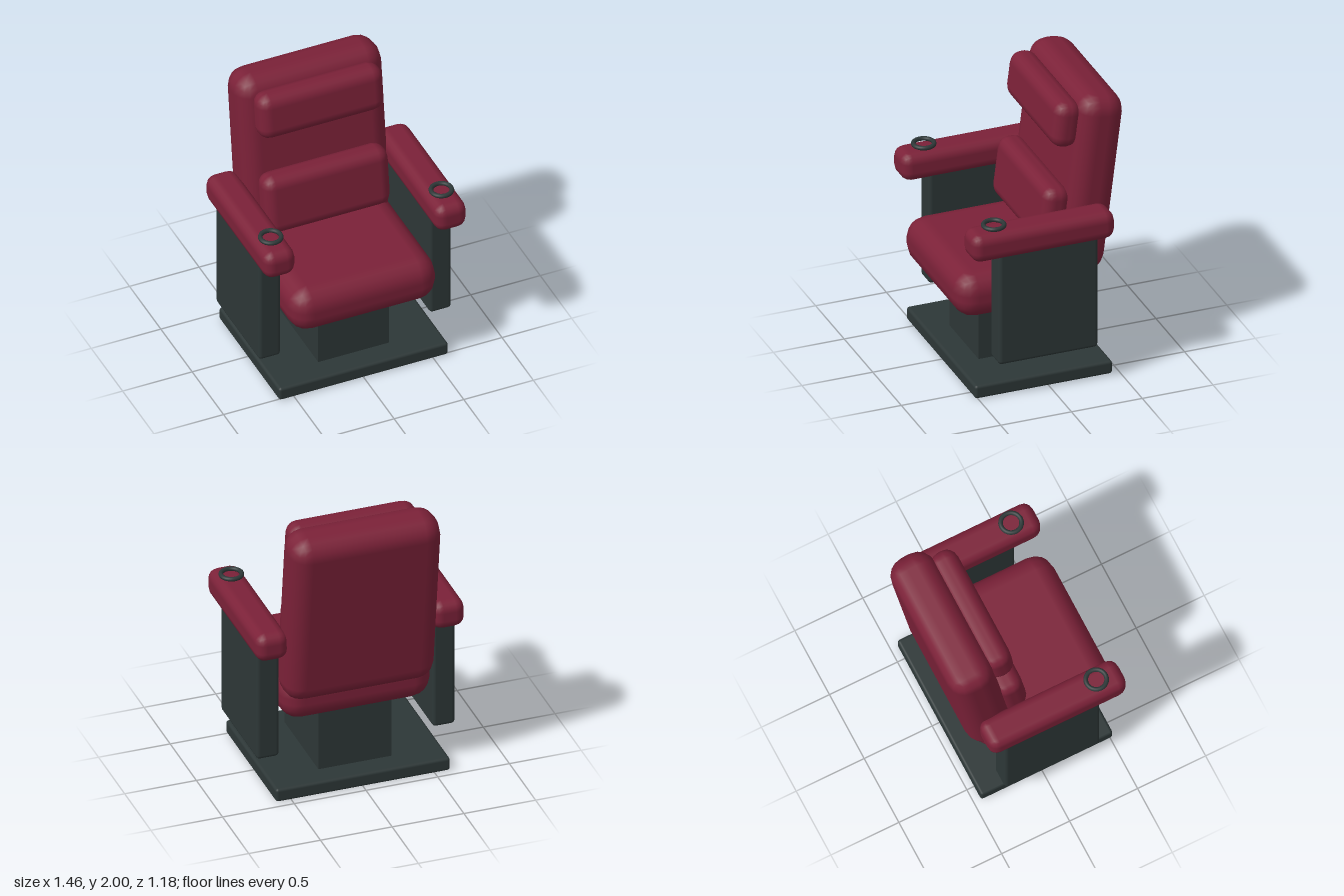
import * as THREE from 'three';
import { RoundedBoxGeometry } from 'three/addons/geometries/RoundedBoxGeometry.js';

export function createModel() {
  const model = new THREE.Group();
  model.name = 'cinemaChair';

  const upholstery = new THREE.MeshStandardMaterial({ color: 0x7b2138 });
  upholstery.name = 'burgundy upholstery';
  const frame = new THREE.MeshStandardMaterial({ color: 0x2d3737 });
  frame.name = 'dark grey frame';

  // Rounded block given by its size, corner radius and centre
  function block(name, material, [w, h, d], radius, [x, y, z], tilt = 0) {
    const geometry = radius > 0
      ? new RoundedBoxGeometry(w, h, d, 2, radius)
      : new THREE.BoxGeometry(w, h, d);
    const mesh = new THREE.Mesh(geometry, material);
    mesh.name = name;
    mesh.position.set(x, y, z);
    mesh.rotation.x = tilt;
    model.add(mesh);
    return mesh;
  }

  const recline = -0.125;

  // Pedestal
  block('basePlate', frame, [1.215, 0.095, 0.97], 0.02, [0, 0.0475, 0.035]);
  block('column', frame, [0.51, 0.56, 0.645], 0, [0, 0.35, 0.033]);

  // Cushions
  block('seat', upholstery, [1.05, 0.325, 0.985], 0.14, [0, 0.6825, 0.1025]);
  block('backrest', upholstery, [1.05, 1.3, 0.32], 0.13, [0, 1.35, -0.366], recline);
  block('headPillow', upholstery, [0.9, 0.33, 0.19], 0.085, [0, 1.79, -0.207], recline);
  block('lumbarPillow', upholstery, [0.9, 0.43, 0.19], 0.08, [0, 1.125, -0.118], recline);

  // Arms, mirrored left and right
  for (const [side, s] of [['left', 1], ['right', -1]]) {
    block(side + 'ArmPanel', frame, [0.157, 0.84, 0.7], 0.025, [s * 0.613, 0.685, 0.035]);
    block(side + 'Armrest', upholstery, [0.225, 0.2, 1.01], 0.07, [s * 0.615, 1.155, 0.073]);

    const ring = new THREE.Mesh(new THREE.TorusGeometry(0.069, 0.0155, 10, 32), frame);
    ring.name = side + 'CupRing';
    ring.rotation.x = Math.PI / 2;
    ring.position.set(s * 0.613, 1.275, 0.393);
    model.add(ring);
  }

  return model;
}
